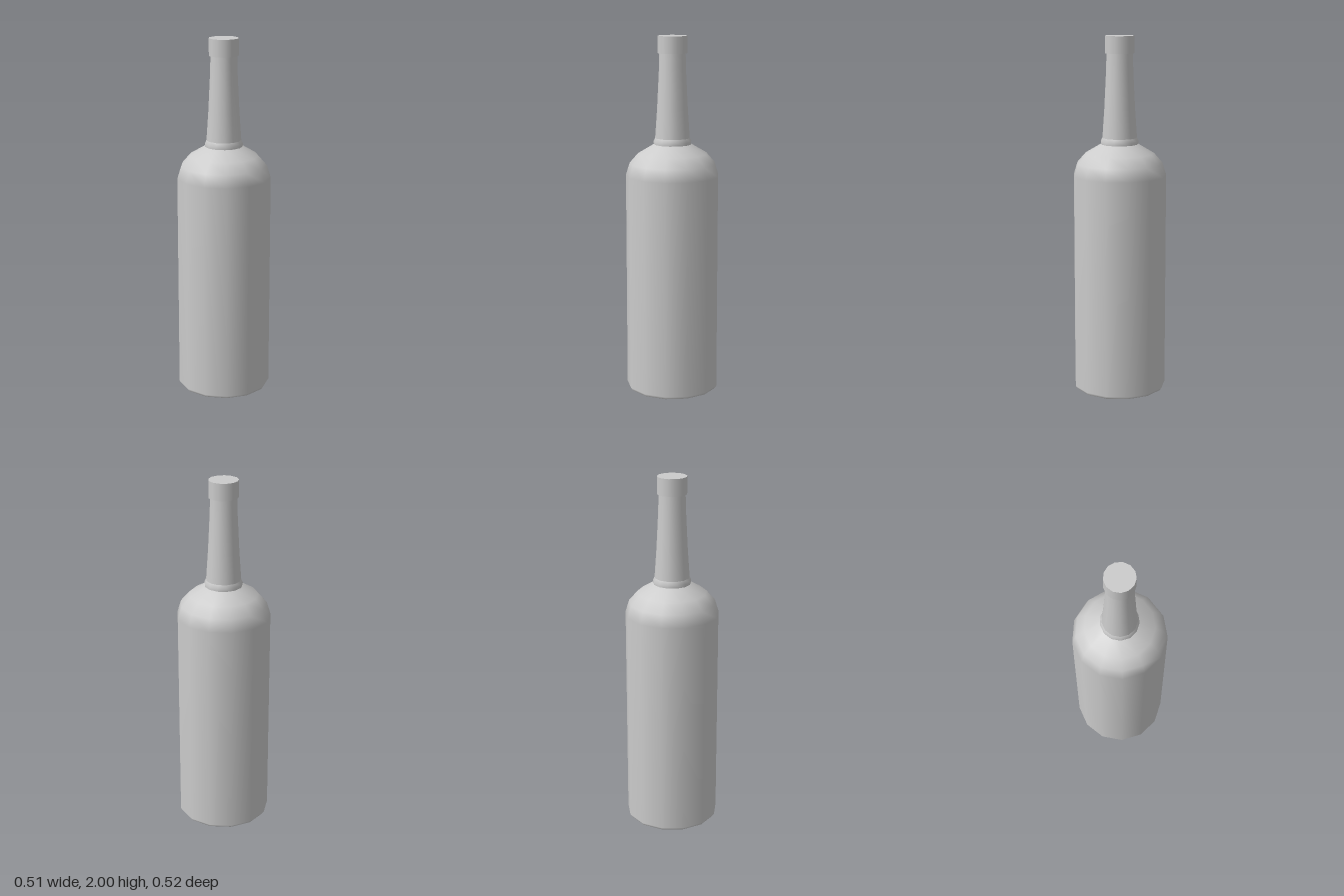
import * as THREE from 'three';

const SIDES = 13;

export function createModel() {
  const bottle = new THREE.Group();
  bottle.name = 'bottle';
  const material = new THREE.MeshStandardMaterial({ color: 0xcccccc });

  // Turned part from [radius, height] pairs, with a corner on +x
  function turned(name, profile) {
    const points = profile.map(([r, y]) => new THREE.Vector2(r, y));
    const geometry = new THREE.LatheGeometry(points, SIDES, Math.PI / 2);
    const mesh = new THREE.Mesh(geometry, material);
    mesh.name = name;
    bottle.add(mesh);
  }

  // Flat base
  turned('base', [[0, 0], [0.25, 0]]);

  // Straight body with a small bevel at the foot and a rounded shoulder
  turned('body', [
    [0.25, 0], [0.261, 0.016], [0.261, 1.23], [0.24, 1.298],
    [0.192, 1.353], [0.104, 1.405],
  ]);

  // Small ring where the neck meets the shoulder
  turned('neckRing', [[0.104, 1.4], [0.106, 1.42], [0.097, 1.44]]);

  // Tapering neck
  turned('neck', [[0.097, 1.44], [0.086, 1.6], [0.076, 1.8], [0.073, 1.905]]);

  // Cap: underside, wall and flat top kept sharp
  turned('capUnderside', [[0.07, 1.905], [0.082, 1.905]]);
  turned('capWall', [[0.082, 1.905], [0.082, 2]]);
  turned('capTop', [[0.082, 2], [0, 2]]);

  // Centre the odd-sided outline
  bottle.children.forEach((part) => { part.position.x = -0.004; });
  return bottle;
}
